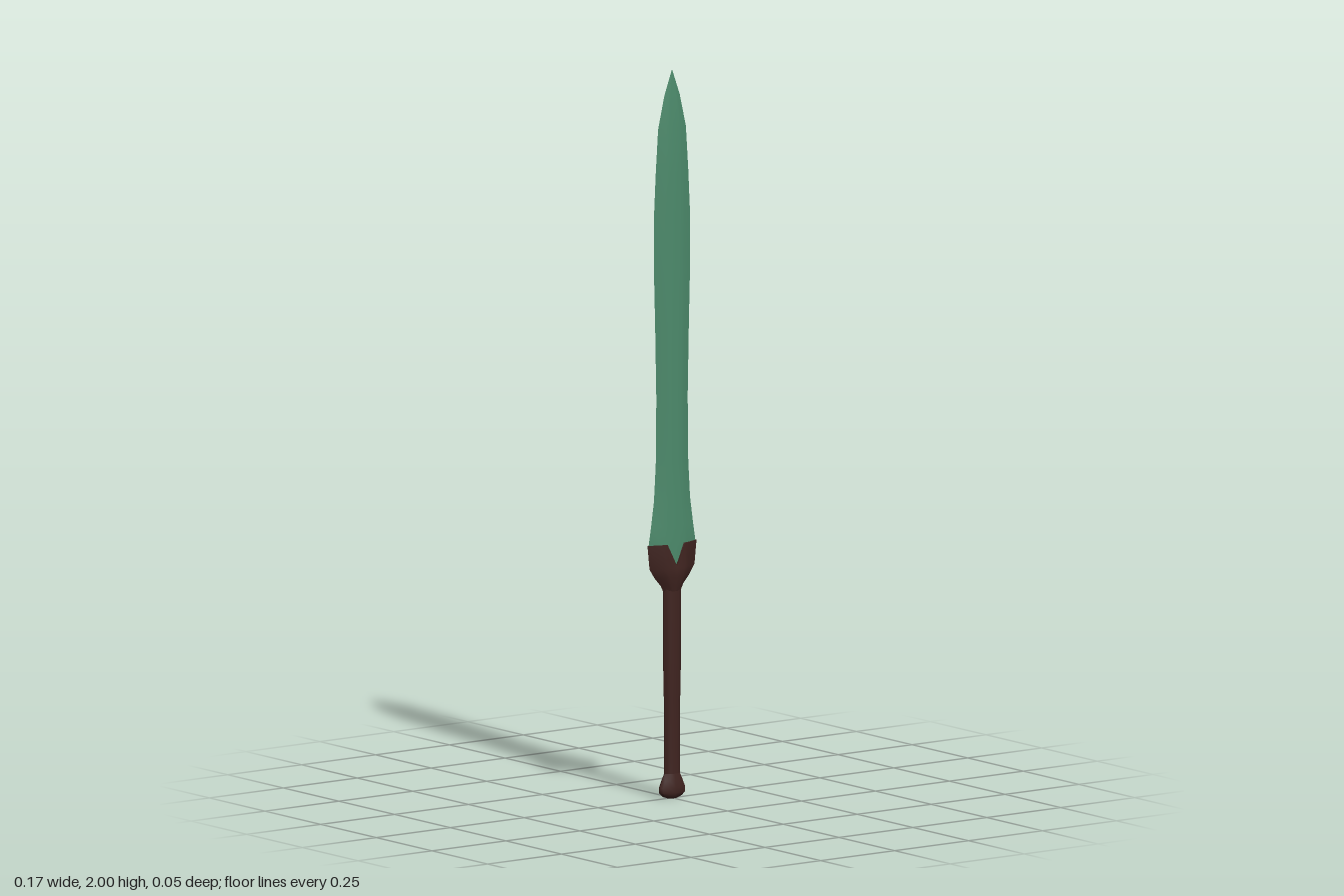
import * as THREE from 'three';
import { toCreasedNormals } from 'three/addons/utils/BufferGeometryUtils.js';

// Mirror a quarter outline (from the +x edge to the +z middle) into a closed section
function mirrorSection(quarter) {
  const half = [...quarter, ...quarter.slice(0, -1).reverse().map(([x, z]) => [-x, z])];
  return [...half, ...half.slice(1, -1).reverse().map(([x, z]) => [x, -z])];
}

const lens = mirrorSection([[1, 0], [0.55, 0.74], [0.36, 0.9], [0, 1]]);
const oval = Array.from({ length: 12 }, (_, i) => {
  const a = (i / 12) * Math.PI * 2;
  return [Math.cos(a), Math.sin(a)];
});

// Loft a section through rings of [y, half width, half depth, notch depth at the middle]
function loft(name, section, rings, color, crease) {
  const n = section.length, pos = [], index = [];
  for (const [y, w, d, notch = 0] of rings) {
    for (const [x, z] of section) {
      pos.push(x * w, Math.abs(x) < 1e-6 ? y - notch : y, z * d);
    }
  }
  for (let r = 0; r < rings.length - 1; r++) {
    for (let i = 0; i < n; i++) {
      const a = r * n + i, b = r * n + (i + 1) % n;
      index.push(a, a + n, b + n, a, b + n, b);
    }
  }
  // End caps
  const last = rings.length - 1;
  pos.push(0, rings[0][0], 0, 0, rings[last][0], 0);
  const bottom = rings.length * n, top = bottom + 1;
  for (let i = 0; i < n; i++) {
    const j = (i + 1) % n;
    index.push(bottom, i, j, top, last * n + j, last * n + i);
  }
  const geometry = new THREE.BufferGeometry();
  geometry.setAttribute('position', new THREE.Float32BufferAttribute(pos, 3));
  geometry.setIndex(index);
  const mesh = new THREE.Mesh(
    toCreasedNormals(geometry, crease),
    new THREE.MeshStandardMaterial({ color })
  );
  mesh.name = name;
  return mesh;
}

export function createModel() {
  const group = new THREE.Group();
  group.name = 'sword';
  const green = 0x4c8a6b, brown = 0x402420;

  // Leaf-shaped blade, flared at the root and pointed at the tip
  group.add(loft('blade', lens, [
    [0.61, 0.045, 0.017],
    [0.65, 0.066, 0.018],
    [0.7, 0.079, 0.018],
    [0.75, 0.071, 0.018],
    [0.82, 0.061, 0.017],
    [0.92, 0.055, 0.017],
    [1.1, 0.053, 0.017],
    [1.3, 0.057, 0.017],
    [1.45, 0.061, 0.016],
    [1.6, 0.061, 0.015],
    [1.72, 0.055, 0.014],
    [1.84, 0.047, 0.011],
    [1.93, 0.026, 0.006],
    [2, 0.0005, 0.0005]
  ], green, 0.6));

  // Cup-shaped guard with a notch in the middle of each face
  group.add(loft('guard', lens, [
    [0.565, 0.028, 0.014],
    [0.585, 0.038, 0.018],
    [0.61, 0.06, 0.023],
    [0.635, 0.076, 0.025],
    [0.7, 0.083, 0.023, 0.06],
    [0.7, 0.07, 0.015, 0.06]
  ], brown, 0.6));

  // Oval grip
  group.add(loft('grip', oval, [
    [0.04, 0.025, 0.013],
    [0.27, 0.025, 0.013],
    [0.29, 0.028, 0.014],
    [0.6, 0.028, 0.015]
  ], brown, 0.8));

  // Flared pommel with a rounded underside
  group.add(loft('pommel', oval, [
    [0, 0.016, 0.009],
    [0.006, 0.032, 0.015],
    [0.016, 0.043, 0.018],
    [0.03, 0.043, 0.018],
    [0.05, 0.034, 0.016],
    [0.068, 0.025, 0.013]
  ], brown, 0.8));

  return group;
}
